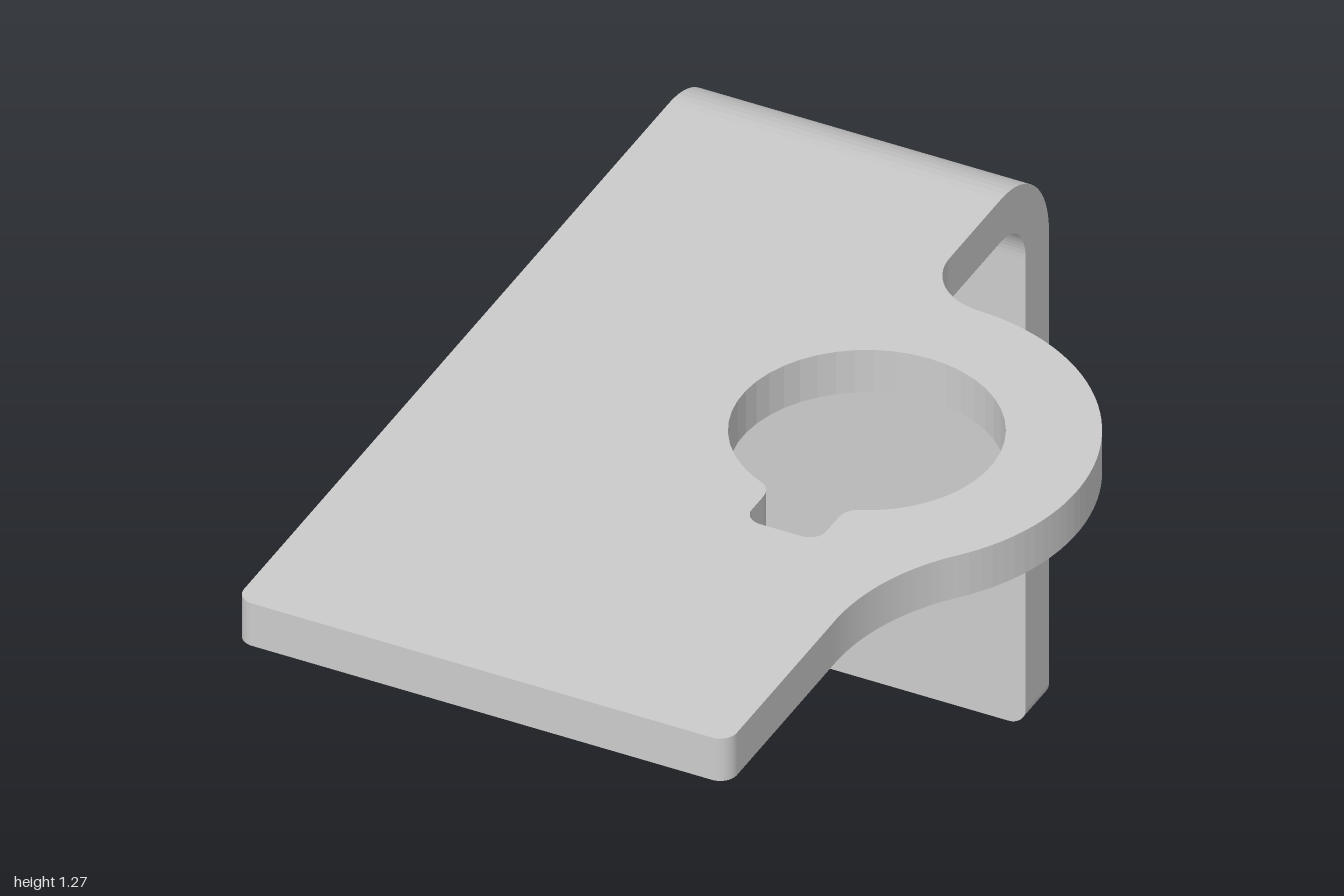
import * as THREE from 'three';

const material = new THREE.MeshStandardMaterial({ color: 0xcccccc });
const LEFT = -0.628, RIGHT = 0.067;      // width of the leg and bend
const TOP = 1.27, T = 0.097;             // upper face height, sheet thickness
const OUTER = 0.2, BEND_Y = TOP - OUTER, BEND_Z = -1 + OUTER;

function extrude(name, shape, depth, curveSegments) {
  const geometry = new THREE.ExtrudeGeometry(shape, { depth, curveSegments, bevelEnabled: false });
  const mesh = new THREE.Mesh(geometry, material);
  mesh.name = name;
  return mesh;
}

// Plate outline, drawn in x and -z
function plateShape() {
  const s = new THREE.Shape();
  const r = 0.035, edge = 0.405, cx = 0.18, cy = 0.02;
  s.moveTo(LEFT, -BEND_Z);
  s.lineTo(RIGHT, -BEND_Z);
  s.absarc(RIGHT + 0.128, 0.588, 0.128, Math.PI, Math.PI * 1.5, false);
  s.absarc(cx, cy, 0.44, Math.PI / 2, -0.71, true);
  s.absarc(0.855, -0.56, 0.45, Math.PI - 0.71, Math.PI, false);
  s.absarc(edge - r, -1 + r, r, 0, -Math.PI / 2, true);
  s.absarc(LEFT + r, -1 + r, r, -Math.PI / 2, -Math.PI, true);
  s.closePath();

  // Round hole with a rounded key slot
  const h = new THREE.Path();
  const a = 1.194, w = 0.078, end = -0.342, k = 0.035, x = 0.182;
  h.absarc(cx, cy, 0.26, -a, Math.PI + a, false);
  h.quadraticCurveTo(x - w, -0.235, x - w, -0.262);
  h.absarc(x - w + k, end + k, k, Math.PI, Math.PI * 1.5, false);
  h.absarc(x + w - k, end + k, k, -Math.PI / 2, 0, false);
  h.lineTo(x + w, -0.262);
  h.quadraticCurveTo(x + w, -0.235, cx + 0.26 * Math.cos(a), cy - 0.26 * Math.sin(a));
  s.holes.push(h);
  return s;
}

// Bend section, drawn in -z and y
function bendShape() {
  const s = new THREE.Shape();
  s.absarc(-BEND_Z, BEND_Y, OUTER, 0, Math.PI / 2, false);
  s.absarc(-BEND_Z, BEND_Y, OUTER - T, Math.PI / 2, 0, true);
  s.closePath();
  return s;
}

// Leg outline with a scooped lower corner
function legShape() {
  const s = new THREE.Shape();
  const r = 0.037;
  s.moveTo(LEFT, BEND_Y);
  s.lineTo(LEFT, 0.225);
  s.quadraticCurveTo(LEFT, 0.197, LEFT + 0.036, 0.191);
  s.absarc(LEFT, 0, 0.194, 1.385, 0.186, true);
  s.quadraticCurveTo(LEFT + 0.197, 0, LEFT + 0.228, 0);
  s.absarc(RIGHT - r, r, r, -Math.PI / 2, 0, false);
  s.lineTo(RIGHT, BEND_Y);
  s.closePath();
  return s;
}

export function createModel() {
  const model = new THREE.Group();
  model.name = 'bracket';

  const plate = extrude('topPlate', plateShape(), T, 20);
  plate.geometry.rotateX(-Math.PI / 2).translate(0, TOP - T, 0);

  const bend = extrude('bend', bendShape(), RIGHT - LEFT, 8);
  bend.geometry.rotateY(Math.PI / 2).translate(LEFT, 0, 0);

  const leg = extrude('leg', legShape(), T, 10);
  leg.geometry.translate(0, 0, -1);

  model.add(plate, bend, leg);
  return model;
}
